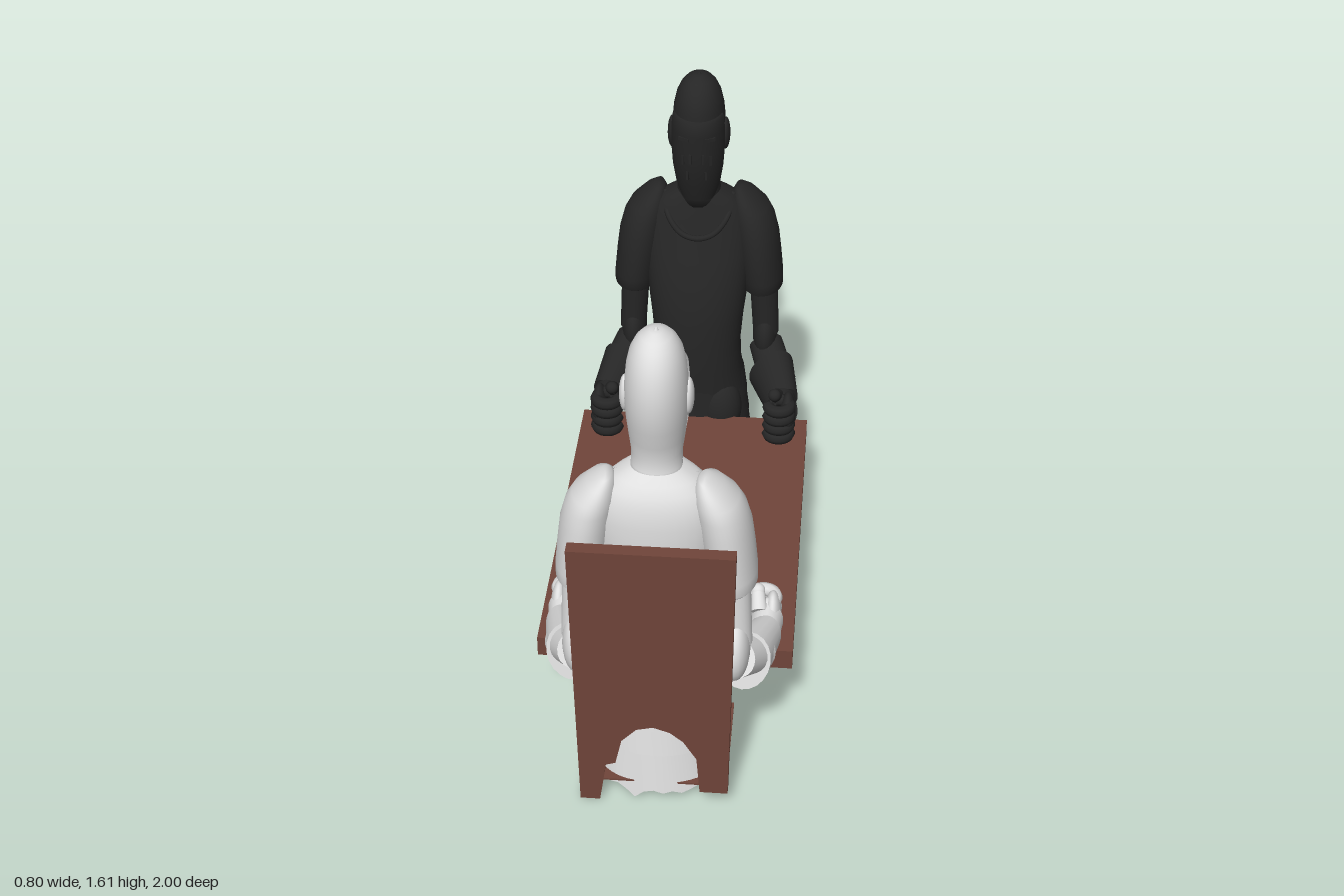
import * as THREE from 'three';

const TAU = Math.PI * 2;
const paint = (name, color) => {
  const m = new THREE.MeshStandardMaterial({ color, side: THREE.DoubleSide });
  m.name = name;
  return m;
};
const wood = paint('brown wood', 0x70453a);
const pale = paint('pale armour', 0xdfdfdf);
const dark = paint('dark armour', 0x262626);

function add(parent, name, geometry, material) {
  const mesh = new THREE.Mesh(geometry, material);
  mesh.name = name;
  parent.add(mesh);
  return mesh;
}

// Skin over oval sections, bottom to top: [y, centreX, halfWidth, frontZ, backZ].
// power < 1 squares the front and back of the oval.
function loft(rows, { n = 36, from = 0, to = TAU, caps = true, power = 1, dip = null } = {}) {
  const closed = to - from > TAU - 0.01;
  const cols = closed ? n : n + 1, pos = [], index = [];
  rows.forEach(([y, cx, rx, zf, zb], i) => {
    for (let j = 0; j < cols; j++) {
      const t = from + (to - from) * j / n, c = Math.cos(t), mid = (zf + zb) / 2;
      const shaped = Math.sign(c) * Math.pow(Math.abs(c), power);
      pos.push(cx + rx * Math.sin(t), y + (dip && i === 0 ? dip(j) : 0), mid + (zf - zb) / 2 * shaped);
    }
  });
  for (let i = 0; i < rows.length - 1; i++) for (let j = 0; j < n; j++) {
    const k = (j + 1) % cols, a = i * cols + j, b = i * cols + k;
    index.push(a, b, a + cols, b, b + cols, a + cols);
  }
  if (closed && caps) [0, rows.length - 1].forEach((i) => {
    const [y, cx, , zf, zb] = rows[i], centre = pos.length / 3;
    pos.push(cx, y, (zf + zb) / 2);
    for (let j = 0; j < n; j++) {
      const a = i * cols + j, b = i * cols + (j + 1) % cols;
      if (i === 0) index.push(centre, b, a); else index.push(centre, a, b);
    }
  });
  const g = new THREE.BufferGeometry();
  g.setAttribute('position', new THREE.Float32BufferAttribute(pos, 3));
  g.setIndex(index);
  g.computeVertexNormals();
  return g;
}

// Tapered tube between two points, optionally flattened sideways
function limb(parent, name, a, b, ra, rb, material, flat = 1) {
  const p = new THREE.Vector3(...a), q = new THREE.Vector3(...b), d = q.clone().sub(p);
  const mesh = add(parent, name, new THREE.CylinderGeometry(rb, ra, d.length(), 20), material);
  mesh.position.copy(p).addScaledVector(d, 0.5);
  mesh.quaternion.setFromUnitVectors(new THREE.Vector3(0, 1, 0), d.normalize());
  mesh.scale.x = flat;
}

function ball(parent, name, p, r, material) {
  const mesh = add(parent, name, new THREE.SphereGeometry(1, 20, 14), material);
  mesh.position.set(...p);
  mesh.scale.set(...r);
}

function makeArm(s, material, reach) {
  const arm = new THREE.Group();
  arm.name = s > 0 ? 'leftArm' : 'rightArm';
  add(arm, 'shoulderGuard', loft([
    [0.79, s * 0.22, 0.066, 0.06, -0.14], [0.8, s * 0.222, 0.073, 0.074, -0.147],
    [0.84, s * 0.219, 0.075, 0.078, -0.15], [0.92, s * 0.208, 0.078, 0.08, -0.153],
    [1.0, s * 0.197, 0.079, 0.073, -0.155], [1.06, s * 0.185, 0.075, 0.06, -0.154],
    [1.1, s * 0.172, 0.066, 0.043, -0.147], [1.14, s * 0.153, 0.042, 0.018, -0.128],
    [1.163, s * 0.14, 0.017, -0.02, -0.1]]), material);
  limb(arm, 'upperArm', [s * 0.222, 0.86, -0.055], [s * 0.238, 0.57, -0.06], 0.05, 0.046, material);
  ball(arm, 'elbowGuard', [s * 0.235, 0.555, -0.073], [0.044, 0.11, 0.083], material);
  limb(arm, 'forearm', [s * 0.238, 0.51, -0.07], [s * 0.29, 0.43, 0.06], 0.06, 0.065, material);
  // Flared gauntlet, narrowing to the wrist
  const wrist = [s * 0.308, 0.4, 0.165 + reach], knuckle = [s * 0.315, 0.405, 0.235 + reach];
  limb(arm, 'gauntletCuff', [s * 0.262, 0.44, 0], wrist, 0.102, 0.074, material, 0.75);
  limb(arm, 'wrist', wrist, knuckle, 0.07, 0.074, material, 0.7);
  ball(arm, 'handBack', [s * 0.332, 0.412, 0.25 + reach], [0.028, 0.086, 0.066], material);
  // Curled fingers stacked around an upright grip
  for (let i = 0; i < 4; i++) {
    const f = add(arm, 'finger', new THREE.TorusGeometry(0.037, 0.022, 8, 20, 5.2), material);
    f.position.set(s * 0.302, 0.35 + i * 0.038, 0.275 + reach);
    f.rotation.set(Math.PI / 2, 0, s > 0 ? -2.24 : 0.14);
  }
  limb(arm, 'thumb', [s * 0.292, 0.46, 0.21 + reach], [s * 0.285, 0.497, 0.26 + reach], 0.026, 0.021, material);
  ball(arm, 'thumbTip', [s * 0.285, 0.5, 0.262 + reach], [0.022, 0.022, 0.022], material);
  return arm;
}

function makeKnight(name, material, { reach, skirtBack, gap }) {
  const knight = new THREE.Group();
  knight.name = name;
  add(knight, 'cuirass', loft([
    [0.4, 0, 0.17, 0.145, -0.14], [0.5, 0, 0.155, 0.153, -0.115], [0.6, 0, 0.152, 0.157, -0.11],
    [0.7, 0, 0.16, 0.156, -0.12], [0.78, 0, 0.17, 0.15, -0.132], [0.87, 0, 0.18, 0.134, -0.144],
    [0.95, 0, 0.185, 0.112, -0.15], [1.03, 0, 0.185, 0.088, -0.152], [1.09, 0, 0.17, 0.073, -0.145],
    [1.13, 0, 0.145, 0.062, -0.13], [1.155, 0, 0.115, 0.055, -0.11], [1.18, 0, 0.074, 0.05, -0.085]],
  { caps: false, power: 0.8 }), material);
  // Raised collar edge across the chest
  const collar = new THREE.CatmullRomCurve3([[-0.115, 1.15, -0.03], [-0.1, 1.1, 0.05], [-0.055, 1.05, 0.082],
    [0, 1.035, 0.09], [0.055, 1.05, 0.082], [0.1, 1.1, 0.05], [0.115, 1.15, -0.03]].map((p) => new THREE.Vector3(...p)));
  add(knight, 'collar', new THREE.TubeGeometry(collar, 32, 0.01, 8), material);

  // Head with a small crest tip
  add(knight, 'helmet', loft([
    [1.14, 0, 0.085, 0.06, -0.09], [1.18, 0, 0.073, 0.06, -0.08], [1.22, 0, 0.073, 0.075, -0.078],
    [1.27, 0, 0.08, 0.095, -0.088], [1.33, 0, 0.086, 0.108, -0.108], [1.4, 0, 0.09, 0.113, -0.121],
    [1.46, 0, 0.088, 0.112, -0.122], [1.51, 0, 0.083, 0.107, -0.115], [1.55, 0, 0.074, 0.094, -0.101],
    [1.58, 0, 0.06, 0.073, -0.082], [1.6, 0, 0.043, 0.05, -0.06], [1.613, 0, 0.018, 0.02, -0.03]]), material);
  limb(knight, 'crestTip', [0, 1.6, -0.005], [0, 1.62, -0.005], 0.014, 0.003, material);
  add(knight, 'visor', loft([
    [1.17, 0, 0.06, 0.068, -0.06], [1.23, 0, 0.077, 0.09, -0.08], [1.3, 0, 0.088, 0.111, -0.1],
    [1.37, 0, 0.093, 0.121, -0.11], [1.44, 0, 0.093, 0.123, -0.112], [1.49, 0, 0.088, 0.128, -0.11],
    [1.496, 0, 0.08, 0.1, -0.1]], { n: 24, from: -1.3, to: 1.3, power: 0.95 }), material);
  for (const s of [-1, 1]) {
    ball(knight, 'visorPivot', [s * 0.089, 1.4, 0], [0.016, 0.058, 0.034], material);
    // Raised rims of the eye slit and breathing slots
    for (const [x, y, w, h, z] of [[0.042, 1.43, 0.04, 0.012, 0.108], [0.02, 1.36, 0.008, 0.035, 0.118],
      [0.045, 1.35, 0.008, 0.035, 0.104], [0.03, 1.29, 0.008, 0.03, 0.103]]) {
      const rim = add(knight, 'visorSlot', new THREE.BoxGeometry(w, h, 0.009), material);
      rim.position.set(s * x, y, z);
      rim.rotation.y = s * x * 11;
    }
    knight.add(makeArm(s, material, reach));
    // Rounded thigh plates at the front
    ball(knight, 'thighPlate', [s * 0.085, 0.33, 0.082], [0.078, 0.13, 0.075], material);
  }

  // Overlapping skirt bands, slightly ragged along the lowest edge
  [0.46, 0.37, 0.28, 0.19].forEach((top, i) => {
    const low = i === 3 ? 0.035 : top - 0.105;
    const at = (y, flare) => {
      const k = (0.46 - y) / 0.42;
      return [y, 0, 0.165 + 0.037 * k + flare, 0.145 + 0.008 * k + flare, -0.125 - (skirtBack - 0.125) * k - flare];
    };
    const ragged = (j) => i === 3 ? (((j * 7) % 5) - 2) * 0.004 - (j % 13 === 0 ? 0.02 : 0) : 0;
    // An optional torn opening at the back, wider towards the hem
    const w = gap && i > 0 ? 0.1 + i * 0.1 : 0;
    add(knight, 'skirtBand', loft([at(low, 0.004), at(top, 0)],
      { n: 44, from: -Math.PI - 0.3 + w, to: Math.PI - 0.3 - w, caps: false, dip: ragged }), material);
  });
  return knight;
}

export function createModel() {
  const model = new THREE.Group();
  model.name = 'knightsAtTable';

  // Table: a shallow box, open underneath
  const top = new THREE.BoxGeometry(0.8, 0.07, 1.25);
  const faces = Array.from(top.index.array);
  faces.splice(18, 6);
  top.setIndex(faces);
  top.clearGroups();
  add(model, 'table', top, wood).position.set(0, 0.285, -0.04);

  // Chair: leaning back with an arched opening at the foot, and a thin seat
  const outline = [[-0.24, 1.005], [-0.225, 0.015], [-0.165, 0.015], [-0.15, 0.12], [-0.145, 0.165], [-0.115, 0.175],
    [-0.095, 0.27], [-0.05, 0.32], [0, 0.333], [0.05, 0.315], [0.09, 0.28], [0.13, 0.21], [0.14, 0.07], [0.225, 0.07],
    [0.24, 1.005]];
  const back = new THREE.ExtrudeGeometry(new THREE.Shape(outline.map((p) => new THREE.Vector2(...p))),
    { depth: 0.042, bevelEnabled: false });
  const p = back.attributes.position;
  for (let i = 0; i < p.count; i++) p.setZ(i, p.getZ(i) + 0.958 + (p.getY(i) - 1.005) * 0.037);
  back.computeVertexNormals();
  add(model, 'chairBack', back, wood);
  add(model, 'chairSeat', new THREE.BoxGeometry(0.45, 0.006, 0.37), wood).position.set(-0.005, 0.067, 0.745);

  // Two knights facing each other, the dark one leaning slightly forward
  const paleKnight = makeKnight('paleKnight', pale, { reach: 0, skirtBack: 0.165, gap: false });
  paleKnight.position.z = 0.775;
  paleKnight.rotation.y = Math.PI;
  const darkKnight = makeKnight('darkKnight', dark, { reach: -0.022, skirtBack: 0.183, gap: true });
  darkKnight.position.set(0, 0.002, -0.811);
  darkKnight.rotation.x = 0.027;
  model.add(paleKnight, darkKnight);
  return model;
}
